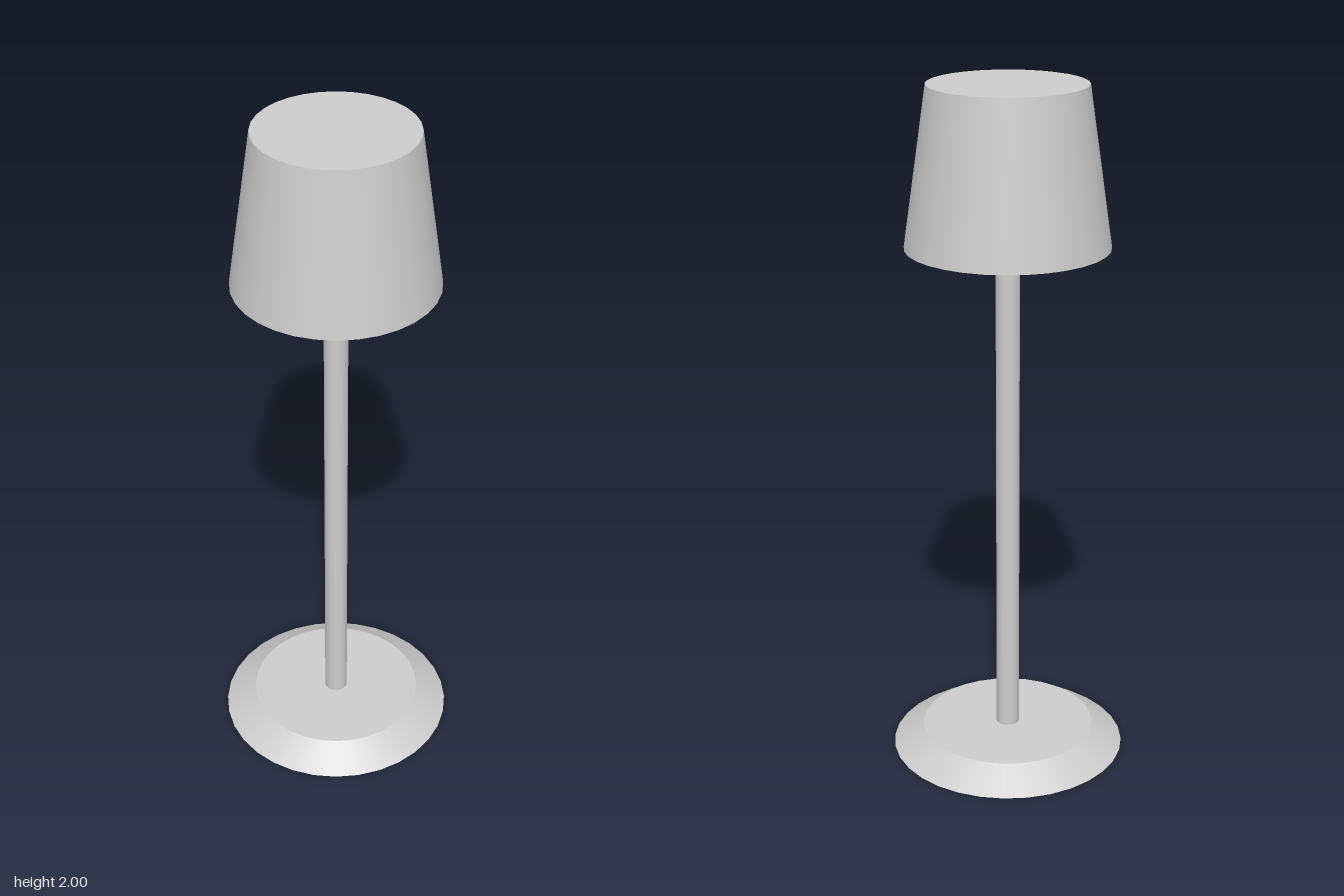
import * as THREE from 'three';

const SEGMENTS = 32;

export function createModel() {
  const group = new THREE.Group();
  const solid = new THREE.MeshStandardMaterial({ color: 0xcccccc });
  const thin = new THREE.MeshStandardMaterial({ color: 0xcccccc, side: THREE.DoubleSide });

  // Adds a round part spanning the heights y0 to y1
  function addRound(name, rBottom, rTop, y0, y1, material, open = false) {
    const geometry = new THREE.CylinderGeometry(rTop, rBottom, y1 - y0, SEGMENTS, 1, open);
    const mesh = new THREE.Mesh(geometry, material);
    mesh.name = name;
    mesh.position.y = (y0 + y1) / 2;
    group.add(mesh);
  }

  // Bevelled foot and slim stem ending inside the shade
  addRound('base', 0.347, 0.256, 0, 0.06, solid);
  addRound('stem', 0.034, 0.034, 0.06, 1.665, solid);

  // Tapered thin shade, open below and closed on top
  addRound('shade', 0.288, 0.222, 1.55, 2, thin, true);
  const shadeTop = new THREE.Mesh(new THREE.CircleGeometry(0.222, SEGMENTS), thin);
  shadeTop.name = 'shadeTop';
  shadeTop.rotation.x = -Math.PI / 2;
  shadeTop.position.y = 2;
  group.add(shadeTop);

  return group;
}
